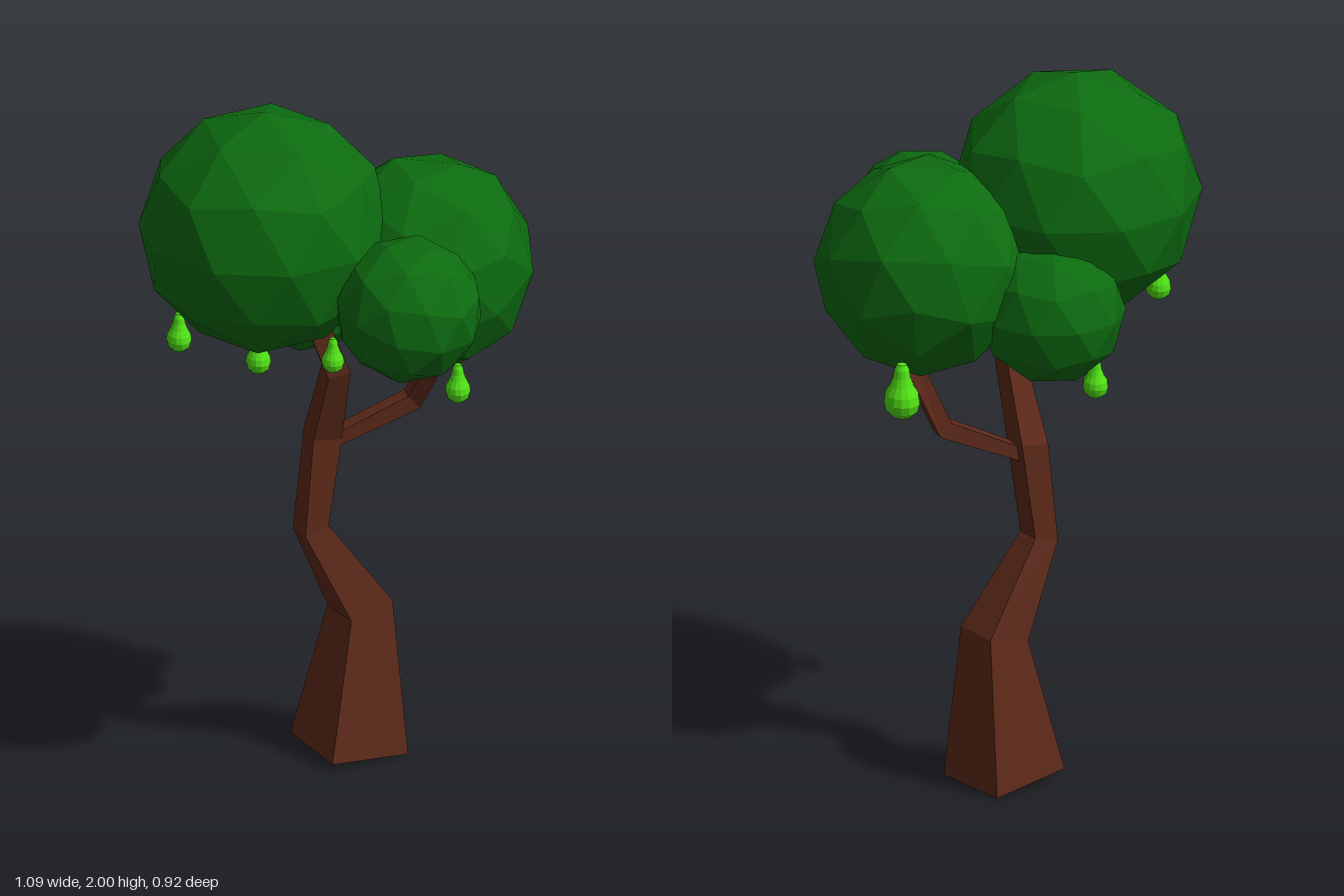
import * as THREE from 'three';

const material = (color) => new THREE.MeshStandardMaterial({ color, flatShading: true });

// Skin a row of four-cornered rings and cap both ends
function loft(rings) {
  const index = [];
  const n = 4;
  for (let r = 0; r < rings.length - 1; r++) {
    for (let i = 0; i < n; i++) {
      const a = r * n + i, b = r * n + (i + 1) % n;
      index.push(a, b, b + n, a, b + n, a + n);
    }
  }
  const t = (rings.length - 1) * n;
  index.push(0, 2, 1, 0, 3, 2, t, t + 1, t + 2, t, t + 2, t + 3);
  const geo = new THREE.BufferGeometry();
  geo.setAttribute('position', new THREE.Float32BufferAttribute(rings.flat(2), 3));
  geo.setIndex(index);
  const flat = geo.toNonIndexed();
  flat.computeVertexNormals();
  return flat;
}

export function createModel() {
  const tree = new THREE.Group();
  tree.name = 'tree';
  const bark = material(0x5e2a1a);
  const leaf = material(0x0d6b10);
  const fruit = material(0x4fe015);

  const add = (name, geo, mat) => {
    const mesh = new THREE.Mesh(geo, mat);
    mesh.name = name;
    tree.add(mesh);
    return mesh;
  };

  // Crooked, tapering trunk: corners run front left, front right, back right, back left
  add('trunk', loft([
    [[-0.03, 0.02, -0.03], [0.2, 0, -0.105], [0.13, 0, -0.33], [-0.1, 0.03, -0.255]],
    [[0.04, 0.415, -0.105], [0.165, 0.45, -0.145], [0.13, 0.45, -0.28], [0, 0.415, -0.235]],
    [[-0.09, 0.68, -0.105], [-0.02, 0.7, -0.125], [-0.035, 0.7, -0.2], [-0.11, 0.68, -0.18]],
    [[-0.065, 0.965, -0.115], [0.018, 0.955, -0.13], [0.01, 0.985, -0.215], [-0.075, 0.975, -0.195]],
    [[-0.04, 1.18, -0.035], [0.025, 1.19, -0.045], [0.015, 1.21, -0.11], [-0.045, 1.2, -0.1]],
    [[-0.14, 1.45, -0.01], [-0.085, 1.47, -0.02], [-0.09, 1.48, -0.07], [-0.145, 1.46, -0.06]],
  ]), bark);

  // Side branch with an elbow
  const branchRing = (xLow, yLow, xHigh, yHigh, zFront, zBack) => [
    [xLow, yLow, zFront], [xLow, yLow, zBack], [xHigh, yHigh, zBack], [xHigh, yHigh, zFront],
  ];
  add('branch', loft([
    branchRing(-0.02, 0.92, -0.02, 0.96, -0.135, -0.185),
    branchRing(0.238, 1.03, 0.205, 1.068, -0.125, -0.178),
    branchRing(0.335, 1.29, 0.29, 1.31, -0.015, -0.06),
  ]), bark);

  // Foliage balls: [radius, position, rotation]
  const ball = new THREE.IcosahedronGeometry(1, 1);
  ball.rotateZ(-Math.atan(2 / (1 + Math.sqrt(5)))); // one corner straight up
  const balls = [
    [0.35, [-0.22, 1.65, -0.04], [0, 0, 0]],
    [0.308, [0.24, 1.5, -0.06], [0.25, 0.5, 0.2]],
    [0.207, [0.125, 1.5, 0.255], [0.3, 0.25, -0.2]],
    [0.206, [-0.06, 1.395, -0.26], [0, 0, 0]],
  ];
  for (const [radius, position, rotation] of balls) {
    const mesh = add('foliage', ball, leaf);
    mesh.scale.setScalar(radius);
    mesh.position.set(...position);
    mesh.rotation.set(...rotation);
  }

  // Hanging pear fruit: [position of the bottom, size]
  const pear = new THREE.LatheGeometry([
    [0, 0], [0.021, 0.004], [0.034, 0.016], [0.039, 0.033], [0.036, 0.05],
    [0.026, 0.067], [0.019, 0.084], [0.016, 0.1], [0.01, 0.111], [0, 0.115],
  ].map(([x, y]) => new THREE.Vector2(x, y)), 14);
  const pears = [
    [[-0.46, 1.3, -0.05], 1],
    [[-0.19, 1.12, -0.26], 1],
    [[-0.085, 1.32, 0.23], 0.9],
    [[0.285, 1.165, 0.155], 1],
    [[0.38, 1.135, -0.245], 1.42],
  ];
  for (const [position, size] of pears) {
    const mesh = add('pear', pear, fruit);
    mesh.position.set(...position);
    mesh.scale.set(size * 0.9, size, size * 1.06);
  }

  return tree;
}
